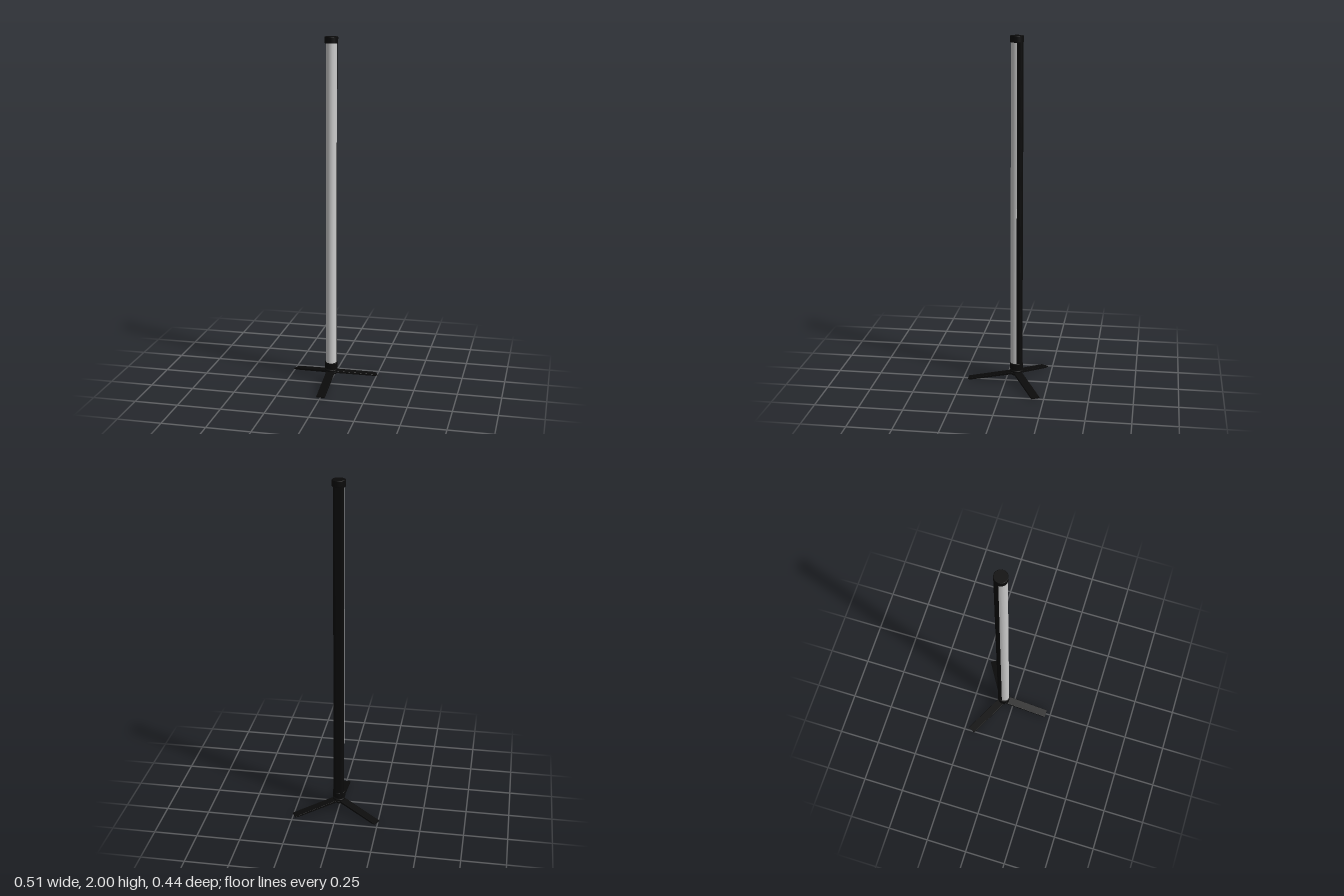
import * as THREE from 'three';

const AXIS_Z = -0.0625;

export function createModel() {
  const model = new THREE.Group();
  const stand = new THREE.Group();
  stand.name = 'floorLight';
  stand.position.z = AXIS_Z;
  model.add(stand);

  const black = new THREE.MeshStandardMaterial({ color: 0x0a0a0a });
  const grey = new THREE.MeshStandardMaterial({ color: 0xcccccc });

  const add = (name, geometry, material = black) => {
    const mesh = new THREE.Mesh(geometry, material);
    mesh.name = name;
    stand.add(mesh);
    return mesh;
  };

  // Turned part with small bevels on both rims
  const disc = (name, radius, y0, y1, bevel = 0.002) => {
    const profile = [
      [0, y0], [radius - bevel, y0], [radius, y0 + bevel],
      [radius, y1 - bevel], [radius - bevel, y1], [0, y1],
    ].map(([r, y]) => new THREE.Vector2(r, y));
    const geometry = new THREE.LatheGeometry(profile, 48).toNonIndexed();
    geometry.computeVertexNormals();
    return add(name, geometry);
  };

  // Upright extrusion of a plan outline (x, -z) between two heights
  const upright = (shape, y0, y1) => {
    const geometry = new THREE.ExtrudeGeometry(shape, {
      depth: y1 - y0, bevelEnabled: false, curveSegments: 24,
    });
    return geometry.rotateX(-Math.PI / 2).translate(0, y0, 0);
  };

  // Light diffuser: rounded front of the column
  const front = new THREE.Shape();
  front.moveTo(-0.03, 0.004);
  front.lineTo(-0.03, 0);
  front.absellipse(0, 0, 0.03, 0.034, Math.PI, Math.PI * 2, false);
  front.lineTo(0.03, 0.004);
  front.closePath();
  add('diffuser', upright(front, 0.1, 1.975), grey);

  // Back channel: flatter housing with rounded corners
  const back = new THREE.Shape();
  back.moveTo(-0.029, 0.004);
  back.lineTo(0.029, 0.004);
  back.lineTo(0.029, 0.018);
  back.quadraticCurveTo(0.028, 0.033, 0.012, 0.034);
  back.lineTo(-0.012, 0.034);
  back.quadraticCurveTo(-0.028, 0.033, -0.029, 0.018);
  back.closePath();
  add('backChannel', upright(back, 0.1, 1.975));

  // End caps, neck, and hub
  disc('topCap', 0.0375, 1.963, 2);
  disc('bottomCap', 0.0375, 0.077, 0.113);
  disc('neck', 0.018, 0.04, 0.08);
  disc('collar', 0.036, 0.059, 0.07);
  disc('hub', 0.033, 0.042, 0.055);
  disc('centrePin', 0.005, 0.02, 0.045, 0.001);

  // Three sloping flat legs with level feet
  const side = new THREE.Shape();
  side.moveTo(0.02, 0.047);
  side.lineTo(0.262, 0);
  side.lineTo(0.283, 0);
  side.lineTo(0.283, 0.006);
  side.lineTo(0.264, 0.010);
  side.lineTo(0.034, 0.057);
  side.lineTo(0.02, 0.057);
  side.closePath();
  const legGeometry = new THREE.ExtrudeGeometry(side, {
    depth: 0.044, bevelThickness: 0.002, bevelSize: 0.001, bevelOffset: -0.001, bevelSegments: 2,
  });
  legGeometry.translate(0, 0, -0.022).rotateY(-Math.PI / 2);
  for (let i = 0; i < 3; i++) {
    add('leg' + (i + 1), legGeometry).rotation.y = (i * Math.PI * 2) / 3;
  }

  return model;
}
